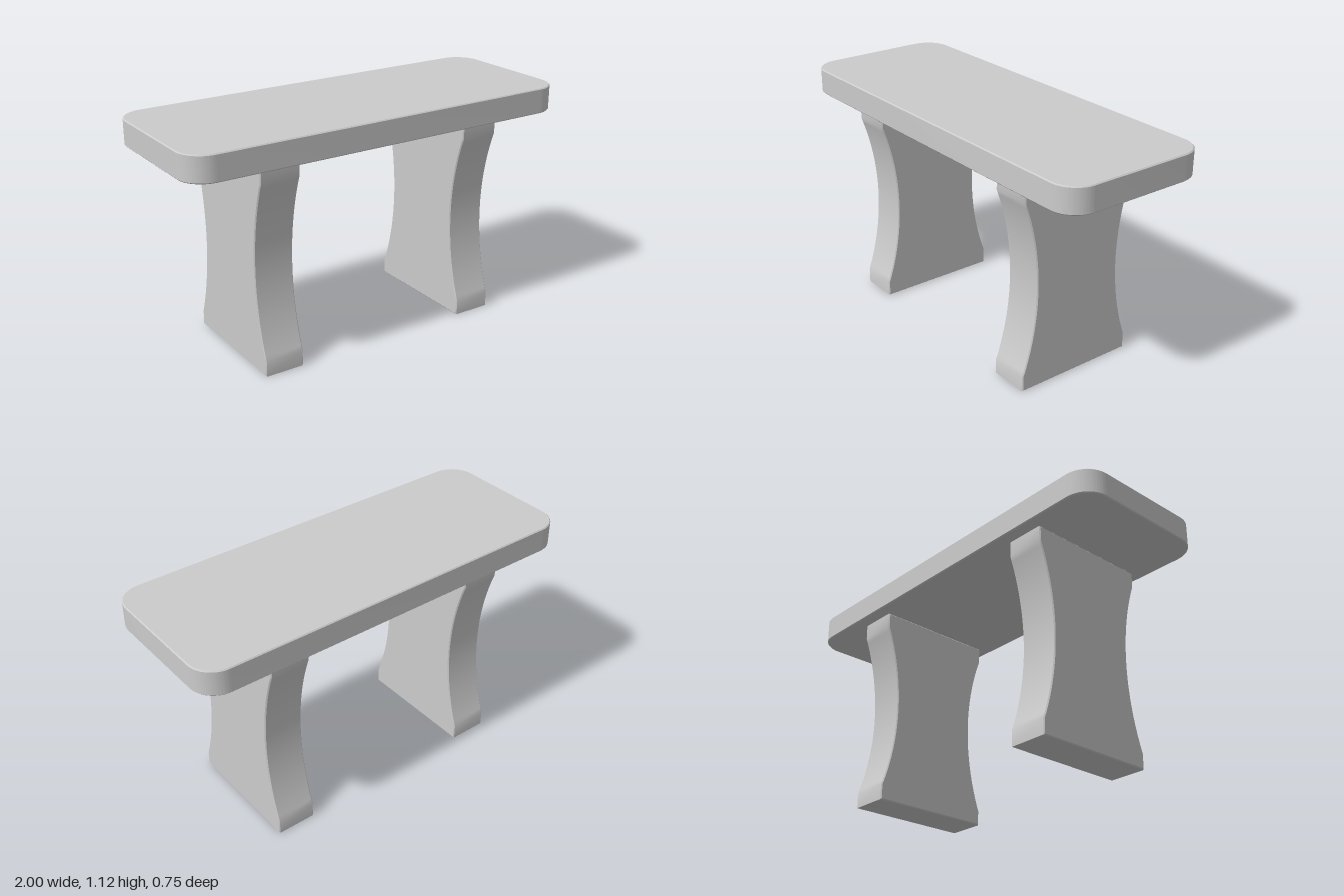
import * as THREE from 'three';
import { toCreasedNormals } from 'three/addons/utils/BufferGeometryUtils.js';

const material = new THREE.MeshStandardMaterial({ color: 0xcccccc });
const BEVEL = 0.005;

// Extrudes a shape to a total thickness, centred, with a fine chamfer kept inside the outline
function slab(shape, thickness) {
  const geometry = new THREE.ExtrudeGeometry(shape, {
    depth: thickness - 2 * BEVEL,
    bevelEnabled: true,
    bevelThickness: BEVEL,
    bevelSize: BEVEL,
    bevelOffset: -BEVEL,
    bevelSegments: 1,
    curveSegments: 16,
  });
  geometry.translate(0, 0, BEVEL - thickness / 2);
  return toCreasedNormals(geometry, 0.5);
}

// Rectangle with rounded corners
function seatShape(w, d, r) {
  const x = w / 2 - r, y = d / 2 - r;
  const shape = new THREE.Shape();
  shape.absarc(x, y, r, 0, Math.PI / 2);
  shape.absarc(-x, y, r, Math.PI / 2, Math.PI);
  shape.absarc(-x, -y, r, Math.PI, Math.PI * 1.5);
  shape.absarc(x, -y, r, Math.PI * 1.5, Math.PI * 2);
  return shape;
}

// Waisted leg outline: straight foot and head joined by concave arcs
function legShape(half, waist, height, foot) {
  const mid = height / 2, chord = mid - foot, sag = half - waist;
  const R = (chord * chord + sag * sag) / (2 * sag);
  const a = Math.asin(chord / R);
  const shape = new THREE.Shape();
  shape.moveTo(-half, 0);
  shape.lineTo(half, 0);
  shape.absarc(waist + R, mid, R, Math.PI + a, Math.PI - a, true);
  shape.lineTo(half, height);
  shape.lineTo(-half, height);
  shape.absarc(-waist - R, mid, R, a, -a, true);
  return shape;
}

export function createModel() {
  const group = new THREE.Group();
  group.name = 'bench';

  // Seat slab
  const seat = new THREE.Mesh(slab(seatShape(2, 0.75, 0.125), 0.125), material);
  seat.name = 'seat';
  seat.rotation.x = -Math.PI / 2;
  seat.position.y = 1.0625;
  group.add(seat);

  // Pair of slab legs
  const legGeometry = slab(legShape(0.31, 0.233, 1, 0.075), 0.197);
  legGeometry.rotateY(Math.PI / 2);
  for (const side of [-1, 1]) {
    const leg = new THREE.Mesh(legGeometry, material);
    leg.name = side > 0 ? 'leftLeg' : 'rightLeg';
    leg.position.x = side * 0.55;
    group.add(leg);
  }
  return group;
}
